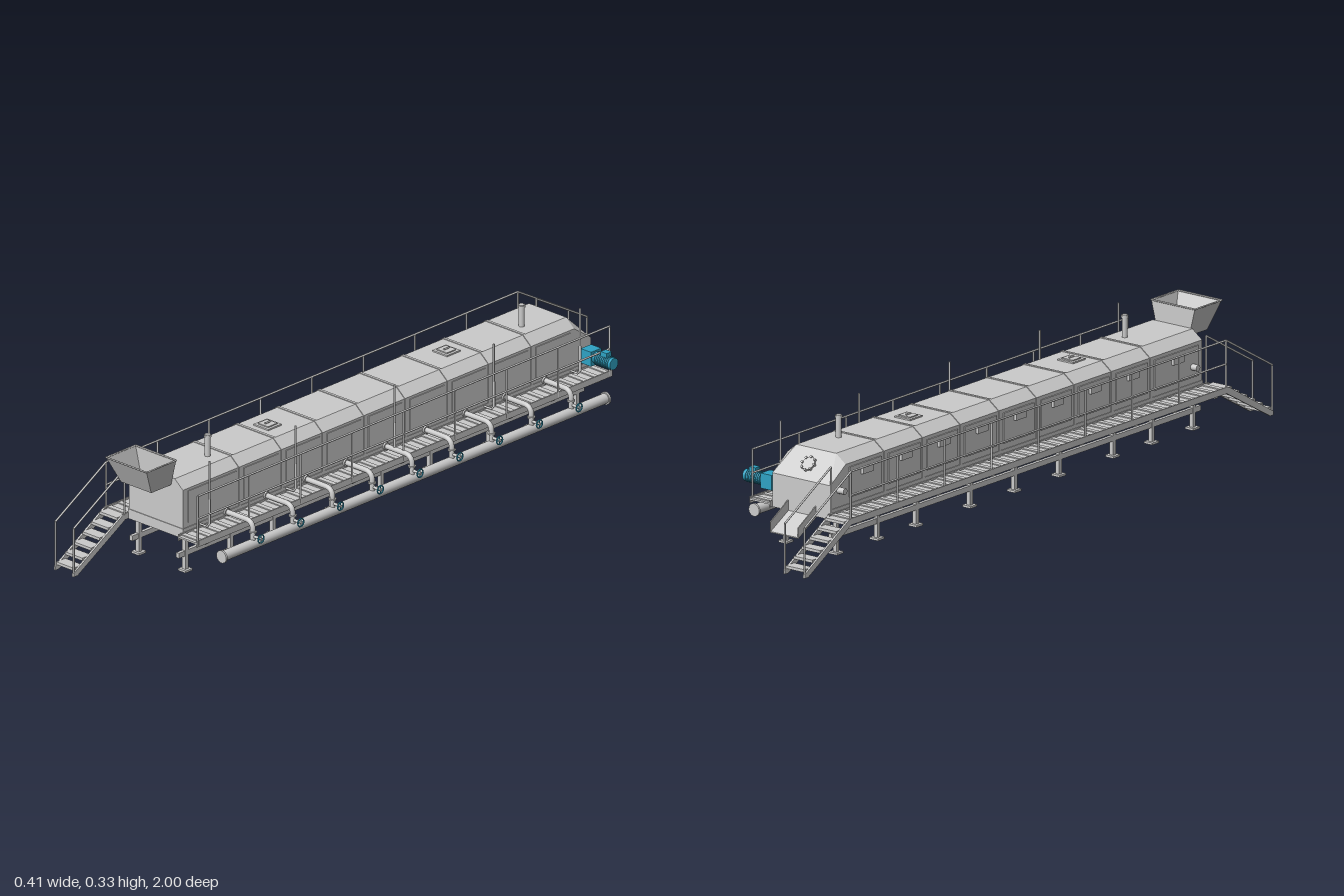
import * as THREE from 'three';
import { ConvexGeometry } from 'three/addons/geometries/ConvexGeometry.js';

const grey = new THREE.MeshStandardMaterial({ color: 0xcccccc });
const sheet = new THREE.MeshStandardMaterial({ color: 0xcccccc, side: THREE.DoubleSide });
const blue = new THREE.MeshStandardMaterial({ color: 0x2fa3c4 });
const V = (x, y, z) => new THREE.Vector3(x, y, z);

export function createModel() {
  const root = new THREE.Group();

  const add = (name, geo, mat = grey) => {
    const m = new THREE.Mesh(geo, mat);
    m.name = name;
    root.add(m);
    return m;
  };
  // box from its limits on each axis
  const box = (name, x0, x1, y0, y1, z0, z1, mat) => {
    const g = new THREE.BoxGeometry(x1 - x0, y1 - y0, z1 - z0);
    return add(name, g.translate((x0 + x1) / 2, (y0 + y1) / 2, (z0 + z1) / 2), mat);
  };
  // round bar between two points
  const rod = (name, a, b, r, mat, sides = 10) => {
    const d = b.clone().sub(a);
    const m = add(name, new THREE.CylinderGeometry(r, r, d.length(), sides), mat);
    m.position.copy(a).add(b).multiplyScalar(0.5);
    m.quaternion.setFromUnitVectors(V(0, 1, 0), d.normalize());
    return m;
  };
  // [z, y] outline extruded along x
  const plateX = (name, pts, x0, x1, mat) => {
    const s = new THREE.Shape(pts.map(p => new THREE.Vector2(p[0], p[1])));
    const g = new THREE.ExtrudeGeometry(s, { depth: x1 - x0, bevelEnabled: false });
    return add(name, g.rotateY(-Math.PI / 2).translate(x1, 0, 0), mat);
  };
  // [x, y] outline extruded along z
  const prismZ = (name, pts, z0, z1) => {
    const s = new THREE.Shape(pts.map(p => new THREE.Vector2(p[0], p[1])));
    const g = new THREE.ExtrudeGeometry(s, { depth: z1 - z0, bevelEnabled: false });
    return add(name, g.translate(0, 0, z0));
  };
  const quad = (name, a, b, c, d) => {
    const g = new THREE.BufferGeometry().setFromPoints([a, b, c, a, c, d]);
    g.computeVertexNormals();
    return add(name, g, sheet);
  };

  // long housing with bevelled roof, and tapered hood at the back
  const outline = (e = 0) => [[-0.13 - e, 0.118], [0.07 + e, 0.118], [0.07 + e, 0.245 + e / 2],
    [0.04 + e / 2, 0.27 + e], [-0.097 - e / 2, 0.27 + e], [-0.13 - e, 0.245 + e / 2]];
  prismZ('housing', outline(), -0.735, 0.785);
  const hood = outline().map(p => V(p[0], p[1], -0.735));
  for (const x of [-0.13, 0.07]) hood.push(V(x, 0.118, -0.8), V(x, 0.2, -0.8));
  add('rearHood', new ConvexGeometry(hood));
  const ribs = [-0.57, -0.405, -0.245, -0.08, 0.08, 0.24, 0.4, 0.565];
  for (const z of ribs) prismZ('housingRib', outline(0.002), z - 0.004, z + 0.004);
  box('baseSkirt', -0.132, 0.072, 0.105, 0.133, -0.8, 0.787);

  // side doors with hinges and latches between the ribs
  const edges = [-0.735, ...ribs, 0.78];
  for (let i = 0; i < edges.length - 1; i++) {
    const a = edges[i] + 0.015, b = edges[i + 1] - 0.015, c = (a + b) / 2;
    box('leftDoor', -0.1335, -0.13, 0.15, 0.235, a, b);
    box('rightDoor', 0.07, 0.0725, 0.145, 0.238, a, b);
    box('doorHandle', -0.142, -0.1335, 0.206, 0.224, c - 0.022, c + 0.022);
  }
  rod('shaftEnd', V(-0.153, 0.18, -0.765), V(-0.13, 0.18, -0.765), 0.009);
  rod('shaftEnd', V(-0.153, 0.18, 0.74), V(-0.13, 0.18, 0.74), 0.009);

  // roof vents, inspection hatches and hood fan port
  for (const z of [-0.61, 0.61]) {
    rod('ventPipe', V(-0.005, 0.265, z), V(-0.005, 0.333, z), 0.008, grey, 16);
    rod('ventFlange', V(-0.005, 0.325, z), V(-0.005, 0.331, z), 0.01, grey, 16);
  }
  for (const z of [-0.345, 0.35]) {
    box('hatchFrame', -0.058, -0.004, 0.269, 0.274, z - 0.026, z + 0.026);
    box('hatchLid', -0.05, -0.012, 0.273, 0.277, z - 0.018, z + 0.018);
    rod('hatchHandle', V(-0.031, 0.279, z - 0.01), V(-0.031, 0.279, z + 0.01), 0.0025);
  }
  const slope = V(0, 0.065, -0.07).normalize();
  const port = V(-0.03, 0.235, -0.7675);
  rod('fanPort', port, port.clone().addScaledVector(slope, 0.005), 0.02, grey, 16);
  for (let i = 0; i < 8; i++) {
    const a = i * Math.PI / 4;
    const p = port.clone().add(V(Math.cos(a) * 0.02, 0, 0))
      .add(V(0, 0.07, 0.065).normalize().multiplyScalar(Math.sin(a) * 0.02));
    rod('portBolt', p, p.clone().addScaledVector(slope, 0.008), 0.004, grey, 6);
  }

  // open feed hopper on the front
  const top = [V(-0.105, 0.325, 0.785), V(0.045, 0.325, 0.785), V(0.045, 0.325, 0.9), V(-0.105, 0.325, 0.9)];
  const low = [V(-0.086, 0.248, 0.785), V(0.026, 0.248, 0.785), V(0.026, 0.248, 0.862), V(-0.086, 0.248, 0.862)];
  for (let i = 0; i < 4; i++) {
    const j = (i + 1) % 4;
    quad('hopperWall', low[i], low[j], top[j], top[i]);
    rod('hopperRim', top[i], top[j], 0.0025, grey, 6);
  }

  // discharge chute at the back
  plateX('chuteFloor', [[-0.77, 0.118], [-0.875, 0.06], [-0.875, 0.063], [-0.77, 0.121]], -0.08, 0.018);
  for (const x of [-0.08, 0.015])
    plateX('chuteSide', [[-0.77, 0.118], [-0.875, 0.06], [-0.875, 0.09], [-0.79, 0.14], [-0.77, 0.14]], x, x + 0.003);

  // walkways: deck plate, cross slats and edge channels
  for (const [x0, x1] of [[-0.202, -0.132], [0.072, 0.139]]) {
    box('walkwayDeck', x0, x1, 0.113, 0.118, -0.81, 0.805);
    for (let i = 0; i < 40; i++)
      box('deckSlat', x0, x1, 0.118, 0.121, -0.8 + i * 0.0405, -0.785 + i * 0.0405);
    for (const x of [x0, x1]) box('deckEdge', x - 0.002, x + 0.002, 0.105, 0.123, -0.81, 0.805);
  }
  box('floorPlate', -0.132, 0.072, 0.105, 0.108, -0.8, 0.785);

  // legs with feet, cross beams and lower rails
  for (const z of [-0.76, -0.585, -0.42, -0.19, 0, 0.19, 0.42, 0.585, 0.76]) {
    box('crossBeam', -0.2, 0.135, 0.1, 0.114, z - 0.007, z + 0.007);
    for (const x of [-0.117, 0.055]) {
      box('leg', x - 0.006, x + 0.006, 0.005, 0.12, z - 0.006, z + 0.006);
      box('foot', x - 0.014, x + 0.014, 0, 0.006, z - 0.014, z + 0.014);
    }
  }
  for (const x of [-0.117, 0.055]) box('lowerRail', x - 0.005, x + 0.005, 0.045, 0.06, -0.785, 0.79);

  // guard rails along both walkways
  for (const x of [-0.2, 0.139]) {
    for (let i = 0; i <= 8; i++) {
      const z = -0.8 + i * 0.2;
      rod('railPost', V(x, 0.11, z), V(x, 0.253, z), 0.0028, grey, 8);
    }
    for (const y of [0.187, 0.253]) rod('guardRail', V(x, y, -0.8), V(x, y, 0.8), 0.0028, grey, 8);
  }

  // stairs at both ends of the left walkway
  for (const s of [-1, 1]) {
    for (const x of [-0.2, -0.132]) {
      const pts = [[0.8, 0.105], [0.985, 0], [1, 0], [1, 0.01], [0.81, 0.121], [0.8, 0.121]];
      plateX('stairStringer', pts.map(p => [p[0] * s, p[1]]), x - 0.003, x + 0.003);
      rod('stairPost', V(x, 0.005, 0.997 * s), V(x, 0.14, 0.997 * s), 0.0028, grey, 8);
      rod('stairRail', V(x, 0.14, 0.997 * s), V(x, 0.253, 0.8 * s), 0.0028, grey, 8);
      rod('stairTopPost', V(x, 0.11, 0.8 * s), V(x, 0.253, 0.8 * s), 0.0028, grey, 8);
    }
    for (let i = 0; i < 6; i++) {
      const y = 0.015 + i * 0.019, z = s * (0.978 - i * 0.0335);
      box('stairTread', -0.198, -0.134, y, y + 0.008, z - 0.017, z + 0.017);
    }
  }

  // supply manifold with flanged ends
  rod('manifold', V(0.17, 0.067, -0.755), V(0.17, 0.067, 0.74), 0.0145, grey, 20);
  for (const z of [-0.755, 0.735]) rod('manifoldFlange', V(0.17, 0.067, z), V(0.17, 0.067, z + 0.006), 0.018, grey, 20);

  // branch pipes, each with a hand-wheel valve
  for (let i = 0; i < 9; i++) {
    const z = -0.618 + i * 0.1545;
    const path = new THREE.CurvePath();
    path.add(new THREE.LineCurve3(V(0.07, 0.132, z), V(0.145, 0.132, z)));
    path.add(new THREE.QuadraticBezierCurve3(V(0.145, 0.132, z), V(0.17, 0.132, z), V(0.17, 0.107, z)));
    path.add(new THREE.LineCurve3(V(0.17, 0.107, z), V(0.17, 0.07, z)));
    add('branchPipe', new THREE.TubeGeometry(path, 28, 0.0075, 12));
    rod('branchFlange', V(0.17, 0.1, z), V(0.17, 0.104, z), 0.011, grey, 14);
    rod('branchFlange', V(0.072, 0.132, z), V(0.077, 0.132, z), 0.011, grey, 14);
    rod('valveStem', V(0.17, 0.09, z), V(0.203, 0.09, z), 0.004);
    const wheel = add('valveWheel', new THREE.TorusGeometry(0.0115, 0.002, 6, 16), blue);
    wheel.rotation.y = Math.PI / 2;
    wheel.position.set(0.2, 0.09, z);
    rod('wheelSpoke', V(0.2, 0.079, z), V(0.2, 0.101, z), 0.0015, blue, 6);
    rod('wheelSpoke', V(0.2, 0.09, z - 0.011), V(0.2, 0.09, z + 0.011), 0.0015, blue, 6);
  }

  // tall riser pipes on the right walkway
  for (const z of [-0.72, -0.385, 0, 0.385, 0.72]) {
    rod('riserElbow', V(0.07, 0.128, z), V(0.098, 0.128, z), 0.003, grey, 8);
    rod('riserElbow', V(0.098, 0.128, z), V(0.106, 0.138, z), 0.003, grey, 8);
    rod('riserPipe', V(0.106, 0.136, z), V(0.106, 0.32, z), 0.0028, grey, 8);
    rod('riserSleeve', V(0.106, 0.138, z), V(0.106, 0.21, z), 0.004, grey, 8);
  }

  // drive: shaft, gearbox and finned motor
  const my = 0.166, mz = -0.768;
  rod('driveShaft', V(0.065, my, mz), V(0.085, my, mz), 0.008, grey, 16);
  box('gearbox', 0.082, 0.12, 0.145, 0.187, mz - 0.02, mz + 0.02, blue);
  rod('motor', V(0.12, my, mz), V(0.186, my, mz), 0.0165, blue, 20);
  for (let i = 0; i < 9; i++)
    rod('motorFin', V(0.127 + i * 0.006, my, mz), V(0.1295 + i * 0.006, my, mz), 0.0185, blue, 20);
  box('terminalBox', 0.146, 0.168, 0.18, 0.194, mz - 0.01, mz + 0.01, blue);

  return root;
}
